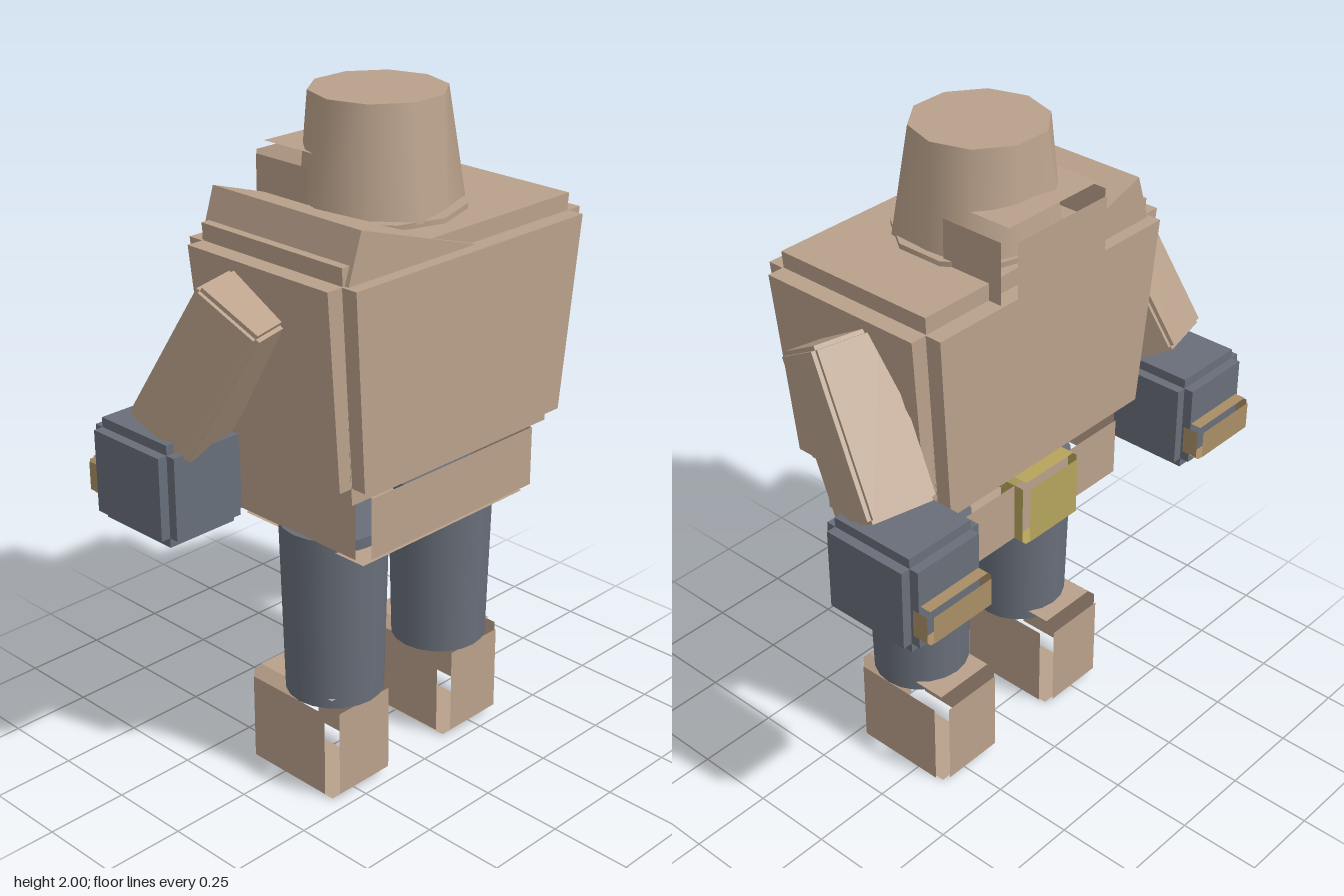
import * as THREE from 'three';
import { mergeGeometries } from 'three/addons/utils/BufferGeometryUtils.js';

const material = (name, color) => {
  const m = new THREE.MeshStandardMaterial({ color, side: THREE.DoubleSide });
  m.name = name;
  return m;
};

// Box with stepped edges: three crossing slabs, narrowing towards the bottom by taper factors
function steppedBox(w, h, d, step, taperX = 1, taperZ = 1) {
  const s = 2 * step;
  const geo = mergeGeometries([
    new THREE.BoxGeometry(w, h - s, d - s),
    new THREE.BoxGeometry(w - s, h, d - s),
    new THREE.BoxGeometry(w - s, h - s, d),
  ]);
  const p = geo.attributes.position;
  for (let i = 0; i < p.count; i++) {
    if (p.getY(i) > 0) continue;
    p.setX(i, p.getX(i) * taperX);
    p.setZ(i, p.getZ(i) * taperZ);
  }
  return geo;
}

// Six loose panels, each pushed outwards by a gap so the edges stay open
function panelBox(w, h, d, gap) {
  const panels = [];
  for (const e of [1, -1]) {
    const turn = e > 0 ? 0 : Math.PI;
    panels.push(
      new THREE.PlaneGeometry(w, h).translate(0, 0, d / 2 + gap).rotateY(turn),
      new THREE.PlaneGeometry(d, h).rotateY(Math.PI / 2).translate(w / 2 + gap, 0, 0).rotateY(turn),
      new THREE.PlaneGeometry(w, d).rotateX(-Math.PI / 2).translate(0, h / 2 + gap, 0).rotateX(turn));
  }
  return mergeGeometries(panels);
}

export function createModel() {
  const group = new THREE.Group();
  const tan = material('tan body', 0xb9a18b);
  const slate = material('slate cloth', 0x686e79);
  const bronze = material('bronze band', 0xa98e66);
  const brass = material('brass buckle', 0xb5a45c);

  const add = (name, geometry, mat, x, y, z) => {
    const mesh = new THREE.Mesh(geometry, mat);
    mesh.name = name;
    mesh.position.set(x, y, z);
    group.add(mesh);
    return mesh;
  };

  // Torso and the sloping ridge over one shoulder
  add('torso', steppedBox(0.98, 0.67, 0.62, 0.05, 0.89, 0.94), tan, 0, 1.345, 0.093);
  const ridge = new THREE.Shape([
    new THREE.Vector2(-0.43, 1.63), new THREE.Vector2(0.04, 1.63), new THREE.Vector2(-0.385, 1.767)]);
  add('shoulderRidge', new THREE.ExtrudeGeometry(ridge, { depth: 0.546, bevelEnabled: false }),
    tan, 0, 0, -0.18);

  // Head: ten-sided top flowing into a five-cornered base
  const headGeo = new THREE.CylinderGeometry(0.19, 0.24, 0.31, 10, 1);
  const p = headGeo.attributes.position;
  for (let i = 0; i < p.count; i++) {
    if (p.getY(i) > 0) continue;
    const step = Math.round(Math.atan2(p.getX(i), p.getZ(i)) / (Math.PI / 5));
    if (step % 2 === 0) {
      p.setX(i, p.getX(i) * 0.85);
      p.setZ(i, p.getZ(i) * 0.85);
    }
  }
  const head = add('head', headGeo, tan, 0, 1.845, 0.05);
  head.rotation.y = Math.PI / 2;
  add('neckRing', new THREE.CylinderGeometry(0.235, 0.235, 0.02, 10), tan, 0, 1.685, 0.06);
  add('backCollar', panelBox(0.35, 0.26, 0.2, 0.03), tan, 0, 1.68, -0.108);

  // Hips with buckle
  add('hips', panelBox(0.655, 0.18, 0.465, 0.03), tan, 0, 0.92, 0.083);
  add('buckle', panelBox(0.2, 0.18, 0.08, 0.015), brass, 0, 0.92, -0.17);

  for (const s of [1, -1]) {
    const side = s > 0 ? 'left' : 'right';

    // Arm swung backwards and slightly outwards
    const along = new THREE.Vector3(s * -0.05, 0.39, 0.23).normalize();
    const across = new THREE.Vector3(0.195, 0, s * 0.05);
    across.addScaledVector(along, -across.dot(along)).normalize();
    const depth = new THREE.Vector3().crossVectors(across, along);
    const arm = add(side + 'Arm', steppedBox(0.205, 0.475, 0.215, 0.012), tan, s * 0.543, 1.348, -0.02);
    arm.quaternion.setFromRotationMatrix(new THREE.Matrix4().makeBasis(across, along, depth));

    // Fist with knuckle band
    add(side + 'Fist', steppedBox(0.285, 0.3, 0.325, 0.029), slate, s * 0.567, 1.0, -0.193);
    add(side + 'KnuckleBand', panelBox(0.217, 0.085, 0.05, 0.012), bronze, s * 0.565, 0.957, -0.364);

    // Leg and open-edged boot
    add(side + 'Leg', new THREE.CylinderGeometry(0.156, 0.143, 0.535, 20), slate, s * 0.22, 0.565, 0.095);
    add(side + 'Boot', panelBox(0.2, 0.268, 0.293, 0.03), tan, s * 0.235, 0.165, 0.052);
  }
  return group;
}
